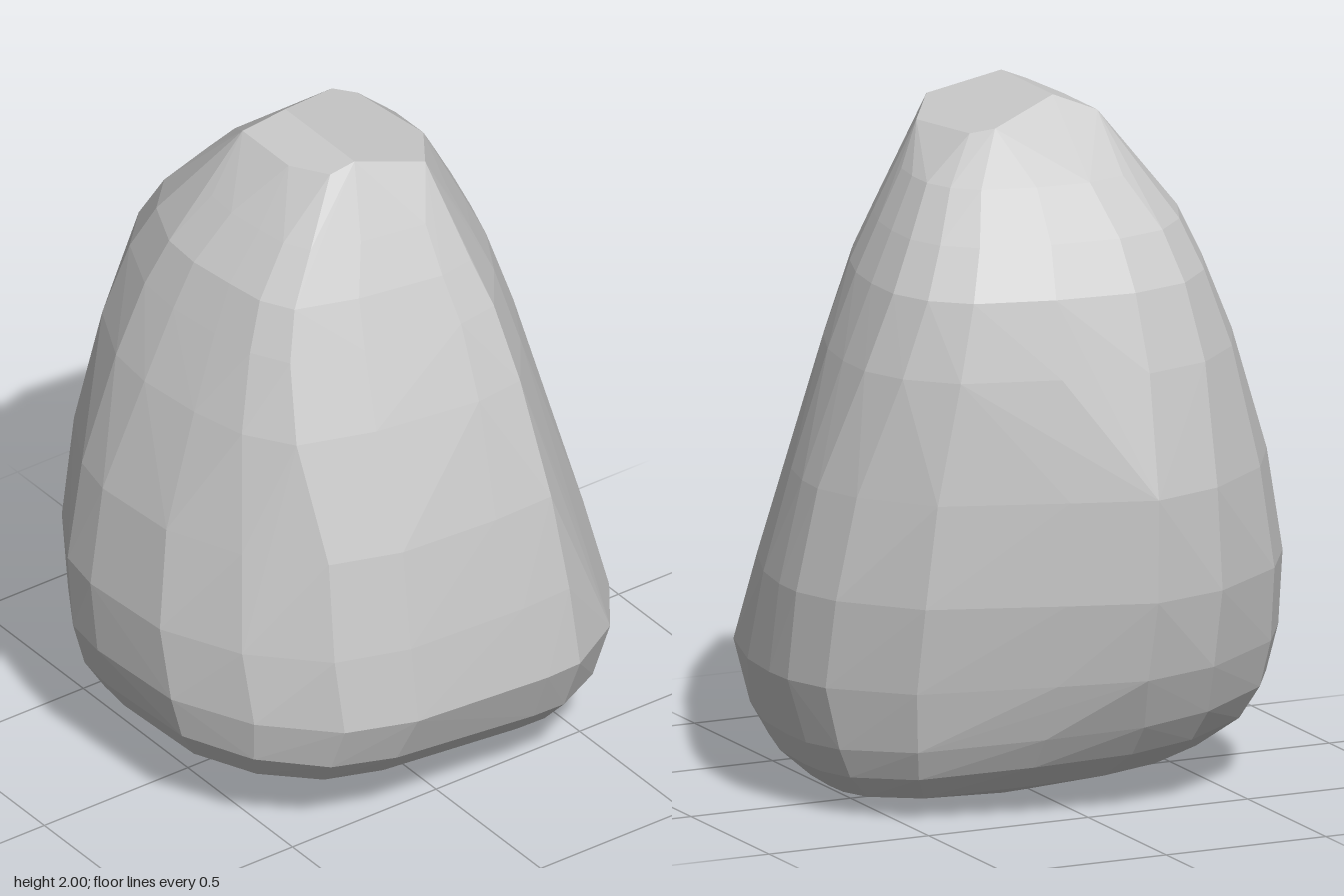
import * as THREE from 'three';
import { ConvexGeometry } from 'three/addons/geometries/ConvexGeometry.js';

// Outlines [x, z] in matching order: back, right (-x), front, left (+x)
const LOWER = [
  [-0.12, -0.72], [-0.35, -0.67], [-0.62, -0.48], [-0.73, -0.3], [-0.75, -0.15],
  [-0.73, 0.18], [-0.61, 0.43], [-0.42, 0.62], [-0.21, 0.69], [0.22, 0.71],
  [0.34, 0.7], [0.53, 0.58], [0.66, 0.39], [0.73, 0.15], [0.745, -0.02],
  [0.74, -0.13], [0.69, -0.28], [0.5, -0.5], [0.12, -0.64],
];
const MIDDLE = [
  [-0.12, -0.71], [-0.34, -0.64], [-0.56, -0.47], [-0.68, -0.27], [-0.71, -0.13],
  [-0.69, 0.15], [-0.59, 0.38], [-0.42, 0.57], [-0.21, 0.64], [0.1, 0.66],
  [0.3, 0.655], [0.43, 0.48], [0.56, 0.28], [0.65, 0.1], [0.685, -0.04],
  [0.69, -0.15], [0.64, -0.3], [0.48, -0.5], [0.12, -0.63],
];
const UPPER = [
  [-0.12, -0.55], [-0.3, -0.5], [-0.42, -0.38], [-0.5, -0.2], [-0.51, -0.05],
  [-0.49, 0.12], [-0.47, 0.26], [-0.41, 0.37], [-0.2, 0.44], [0.1, 0.49],
  [0.23, 0.47], [0.34, 0.32], [0.43, 0.16], [0.48, 0.02], [0.5, -0.12],
  [0.5, -0.26], [0.45, -0.38], [0.35, -0.47], [0.12, -0.53],
];

// Cross-sections of the body: [y, xMin, xMax, zMin, zMax, tilt down towards +x]
const LEVELS = [
  [0.03, -0.08, 0.48, -0.24, 0.22, 0],
  [0.085, -0.52, 0.57, -0.41, 0.43, 0.07],
  [0.16, -0.64, 0.645, -0.505, 0.56, 0.07],
  [0.25, -0.7, 0.69, -0.57, 0.645, 0.07],
  [0.41, -0.737, 0.745, -0.645, 0.718, 0.03],
  [0.65, -0.747, 0.735, -0.7, 0.695, 0],
  [0.95, -0.7, 0.68, -0.71, 0.65, 0],
  [1.3, -0.595, 0.58, -0.63, 0.56, 0],
  [1.52, -0.505, 0.5, -0.565, 0.48, 0],
  [1.66, -0.445, 0.425, -0.48, 0.42, 0],
  [1.8, -0.335, 0.34, -0.36, 0.35, 0],
];

// Top facet as [x, z], with a narrow strip folded down on the -x side
const CAP = [
  [-0.2, -0.15], [-0.08, -0.11], [0.14, -0.19], [0.2, -0.15], [0.24, 0.11],
  [0.13, 0.27], [-0.08, 0.22], [-0.15, 0.2], [-0.2, 0.07],
];
const capHeight = (x) => Math.min(1.98 - 0.27 * x, 2.033 + 0.4 * x);

// Rescale an outline to the range -1..1 on both axes
function normalise(outline) {
  const box = new THREE.Box2().setFromPoints(outline.map(([x, z]) => new THREE.Vector2(x, z)));
  const c = box.getCenter(new THREE.Vector2());
  const s = box.getSize(new THREE.Vector2());
  return outline.map(([x, z]) => [(2 * (x - c.x)) / s.x, (2 * (z - c.y)) / s.y]);
}

export function createModel() {
  const group = new THREE.Group();
  group.name = 'rock';

  const { lerp, smoothstep } = THREE.MathUtils;
  const [low, middle, high] = [LOWER, MIDDLE, UPPER].map(normalise);
  const points = [new THREE.Vector3(0.13, 0, 0)];

  // Body: sections change from outline to outline with height, squarer near the base
  for (const [y, x0, x1, z0, z1, tilt] of LEVELS) {
    const toMiddle = smoothstep(y, 0.4, 0.9);
    const toHigh = smoothstep(y, 0.9, 1.52);
    const power = lerp(0.82, 1, smoothstep(y, 0.1, 0.5));
    const place = (i, axis, min, max) => {
      const s = lerp(lerp(low[i][axis], middle[i][axis], toMiddle), high[i][axis], toHigh);
      return (min + max) / 2 + (Math.sign(s) * Math.abs(s) ** power * (max - min)) / 2;
    };
    for (let i = 0; i < low.length; i++) {
      const x = place(i, 0, x0, x1);
      points.push(new THREE.Vector3(x, y - tilt * x, place(i, 1, z0, z1)));
    }
  }

  // Top facet, sloping down towards +x
  for (const [x, z] of CAP) points.push(new THREE.Vector3(x, capHeight(x), z));

  const stone = new THREE.Mesh(
    new ConvexGeometry(points),
    new THREE.MeshStandardMaterial({ color: 0xcccccc, flatShading: true }),
  );
  stone.name = 'stone';
  group.add(stone);
  return group;
}
